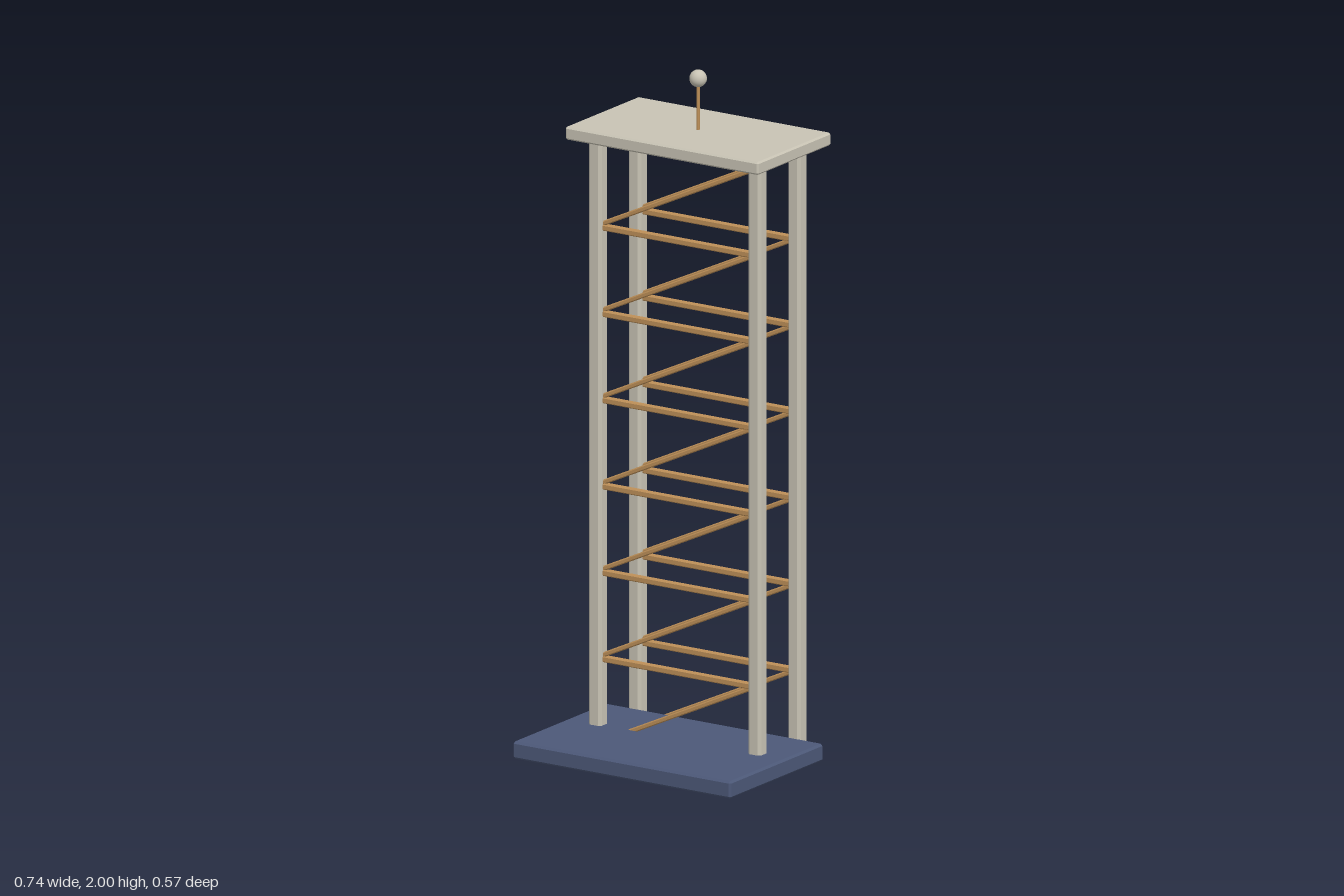
import * as THREE from 'three';
import { ConvexGeometry } from 'three/addons/geometries/ConvexGeometry.js';

const material = (name, color) => new THREE.MeshStandardMaterial({ name, color });

// Box with flat chamfers on every edge
function chamferBox(w, h, d, c) {
  const half = [w / 2, h / 2, d / 2];
  const points = [];
  for (const sx of [-1, 1]) for (const sy of [-1, 1]) for (const sz of [-1, 1]) {
    for (let face = 0; face < 3; face++) {
      const p = half.map((v, axis) => (axis === face ? v : v - c));
      points.push(new THREE.Vector3(sx * p[0], sy * p[1], sz * p[2]));
    }
  }
  return new ConvexGeometry(points);
}

export function createModel() {
  const model = new THREE.Group();
  model.name = 'latticeTower';
  const stone = material('paleStone', 0xc8c3b4);
  const navy = material('navyBase', 0x4c5878);
  const wood = material('warmWood', 0xbe9058);

  const add = (name, geometry, mat, x, y, z) => {
    const mesh = new THREE.Mesh(geometry, mat);
    mesh.name = name;
    mesh.position.set(x, y, z);
    model.add(mesh);
    return mesh;
  };

  // Base slab and roof slab
  add('base', chamferBox(0.738, 0.051, 0.47, 0.006), navy, 0, 0.0425, 0.05);
  add('roof', chamferBox(0.654, 0.038, 0.37, 0.005), stone, 0, 1.806, -0.102);

  // Two braced frames: posts, rungs and rising diagonals
  const step = 0.2525, bays = 7, y0 = 0.009;
  const post = chamferBox(0.043, 1.772, 0.043, 0.008);
  const rung = chamferBox(0.53, 0.018, 0.018, 0.003);
  const run = 0.51, rise = 0.24;
  const diagonal = chamferBox(Math.hypot(run, rise), 0.014, 0.014, 0.003);
  for (const [side, z] of [['front', 0], ['back', -0.2]]) {
    for (const s of [-1, 1]) {
      add(side + (s > 0 ? 'LeftPost' : 'RightPost'), post, stone, s * 0.27, 0.903, z);
    }
    for (let i = 0; i < bays; i++) {
      const y = y0 + i * step;
      add(side + 'Rung', rung, wood, 0, y, z);
      add(side + 'Diagonal', diagonal, wood, 0, y + step / 2 + 0.003, z)
        .rotation.z = Math.atan2(rise, run);
    }
  }

  // Mast with a ball on top
  add('mast', new THREE.CylinderGeometry(0.005, 0.005, 0.15, 12), wood, 0, 1.895, -0.102);
  add('mastBall', new THREE.SphereGeometry(0.025, 24, 16), stone, 0, 1.975, -0.102);

  return model;
}
